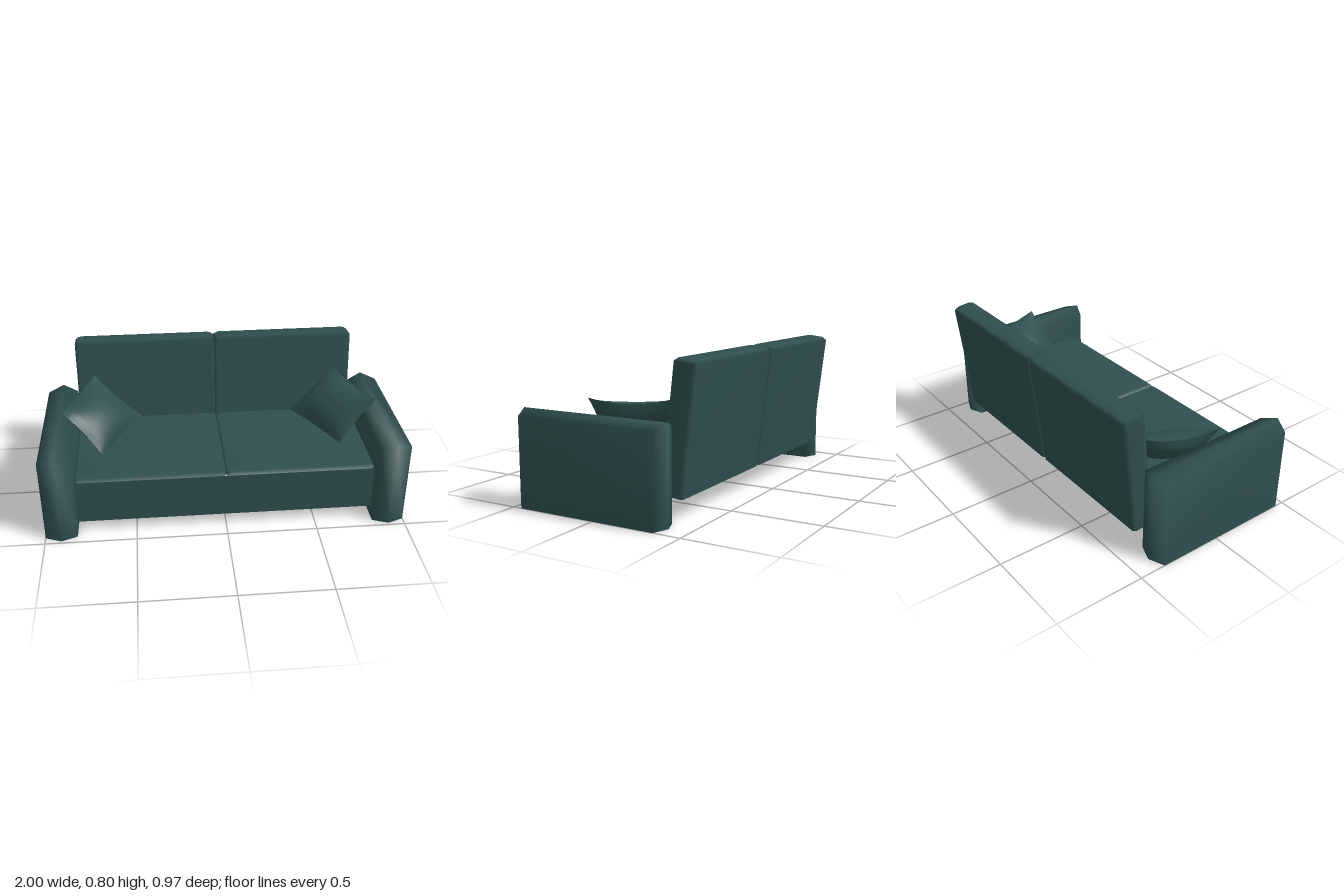
import * as THREE from 'three';

const fabric = new THREE.MeshStandardMaterial({ color: 0x2f4f4f, side: THREE.DoubleSide });
fabric.name = 'dark teal fabric';

// Smooth skin over rings of [x, y, z] points; the end is capped, the start stays open
function loft(rings) {
  const n = rings[0].length, last = (rings.length - 1) * n;
  const points = rings.flat();
  const index = [];
  for (let r = 0; r < rings.length - 1; r++) {
    for (let j = 0; j < n; j++) {
      const k = (j + 1) % n, a = r * n + j, b = r * n + k;
      index.push(a, b, b + n, a, b + n, a + n);
    }
  }
  const ring = rings[rings.length - 1];
  const end = points.push([0, 1, 2].map(c => ring.reduce((s, p) => s + p[c], 0) / n)) - 1;
  for (let j = 0; j < n; j++) index.push(end, last + j, last + (j + 1) % n);
  const geo = new THREE.BufferGeometry();
  geo.setAttribute('position', new THREE.Float32BufferAttribute(points.flat(), 3));
  geo.setIndex(index);
  geo.computeVertexNormals();
  return geo;
}

// Cushion shell standing on y = 0: chamfered upright corners and top rim, open base
function cushionGeometry(w, h, d, c) {
  const ring = (y, inset) => {
    const x = w / 2 - inset, z = d / 2 - inset;
    return [[x - c, y, z], [x, y, z - c], [x, y, -z + c], [x - c, y, -z],
      [-x + c, y, -z], [-x, y, -z + c], [-x, y, z - c], [-x + c, y, z]];
  };
  return loft([ring(0, 0), ring(h - c, 0), ring(h, c)]);
}

// Arm shell with an open base: flat sides, and a ridge running up both ends and over the top
function armGeometry() {
  const w = 0.0875;
  const arch = (x, top, back, front) =>
    [[x, 0, back], [x, top, back], [x, top, front], [x, 0, front]];
  const points = [
    arch(-w, 0.48, -0.35, 0.45),
    arch(0, 0.51, -0.385, 0.485),
    arch(w, 0.48, -0.35, 0.45),
  ].flat();
  const index = [0, 3, 2, 0, 2, 1, 8, 9, 10, 8, 10, 11];
  for (const r of [0, 4]) {
    for (let a = r; a < r + 3; a++) index.push(a, a + 1, a + 5, a, a + 5, a + 4);
  }
  const geo = new THREE.BufferGeometry();
  geo.setAttribute('position', new THREE.Float32BufferAttribute(points.flat(), 3));
  geo.setIndex(index);
  geo.computeVertexNormals();
  return geo;
}

// One bulging face of a pillow between four corners (a, b on one edge, d, c opposite);
// the edge at v = sagEdge dips by sag along the face normal
function pillowFace(a, b, c, d, sag) {
  const geo = new THREE.PlaneGeometry(2, 2, 12, 12);
  const pos = geo.attributes.position;
  const normal = b.clone().sub(a).cross(a.clone().sub(d)).normalize();
  for (let i = 0; i < pos.count; i++) {
    const u = pos.getX(i), v = pos.getY(i);
    const fu = 1 - u * u, fv = 1 - v * v;
    // Edges draw in a little, and the top edge sags between its corners
    const s = (u * (1 - 0.05 * fv) + 1) / 2, t = (v * (1 - 0.05 * fu) + 1) / 2;
    const low = d.clone().lerp(c, s), high = a.clone().lerp(b, s);
    const p = low.lerp(high, t);
    p.addScaledVector(normal, 0.075 * Math.pow(fu * fv, 0.7) + sag * fu * (1 + v) / 2);
    pos.setXYZ(i, p.x, p.y, p.z);
  }
  geo.computeVertexNormals();
  return geo;
}

export function createModel() {
  const sofa = new THREE.Group();
  sofa.name = 'sofa';
  const add = (parent, name, geo, x = 0, y = 0, z = 0) => {
    const mesh = new THREE.Mesh(geo, fabric);
    mesh.name = name;
    mesh.position.set(x, y, z);
    parent.add(mesh);
    return mesh;
  };

  // Front rail under the seat
  add(sofa, 'frontRail', new THREE.PlaneGeometry(1.66, 0.14), 0, 0.13, 0.395);

  const arm = armGeometry();
  const seatTop = cushionGeometry(0.824, 0.018, 0.685, 0.016);
  const seatFront = new THREE.PlaneGeometry(0.824, 0.118);
  const back = cushionGeometry(0.822, 0.672, 0.13, 0.016);

  for (const [side, s] of [['left', 1], ['right', -1]]) {
    add(sofa, side + 'Arm', arm, s * 0.9125);

    // Seat cushion: a shallow top over an upright front
    const seat = new THREE.Group();
    seat.name = side + 'SeatCushion';
    add(seat, 'seatTop', seatTop, s * 0.412, 0.317, 0.0575);
    add(seat, 'seatFront', seatFront, s * 0.412, 0.259, 0.399);
    sofa.add(seat);

    add(sofa, side + 'BackCushion', back, s * 0.411, 0.127, -0.339).rotation.x = -0.117;

    // Throw pillow leaning on the arm
    const corner = (x, y, z) => new THREE.Vector3(s * x, y, z);
    let a = corner(0.88, 0.585, 0.1), b = corner(0.72, 0.595, -0.32);
    let c = corner(0.452, 0.35, -0.247), d = corner(0.675, 0.343, 0.165);
    if (s > 0) [a, b, c, d] = [b, a, d, c];
    const pillow = new THREE.Group();
    pillow.name = side + 'Pillow';
    add(pillow, 'pillowFront', pillowFace(a, b, c, d, -0.035));
    add(pillow, 'pillowBack', pillowFace(b, a, d, c, 0.035));
    sofa.add(pillow);
  }
  return sofa;
}
